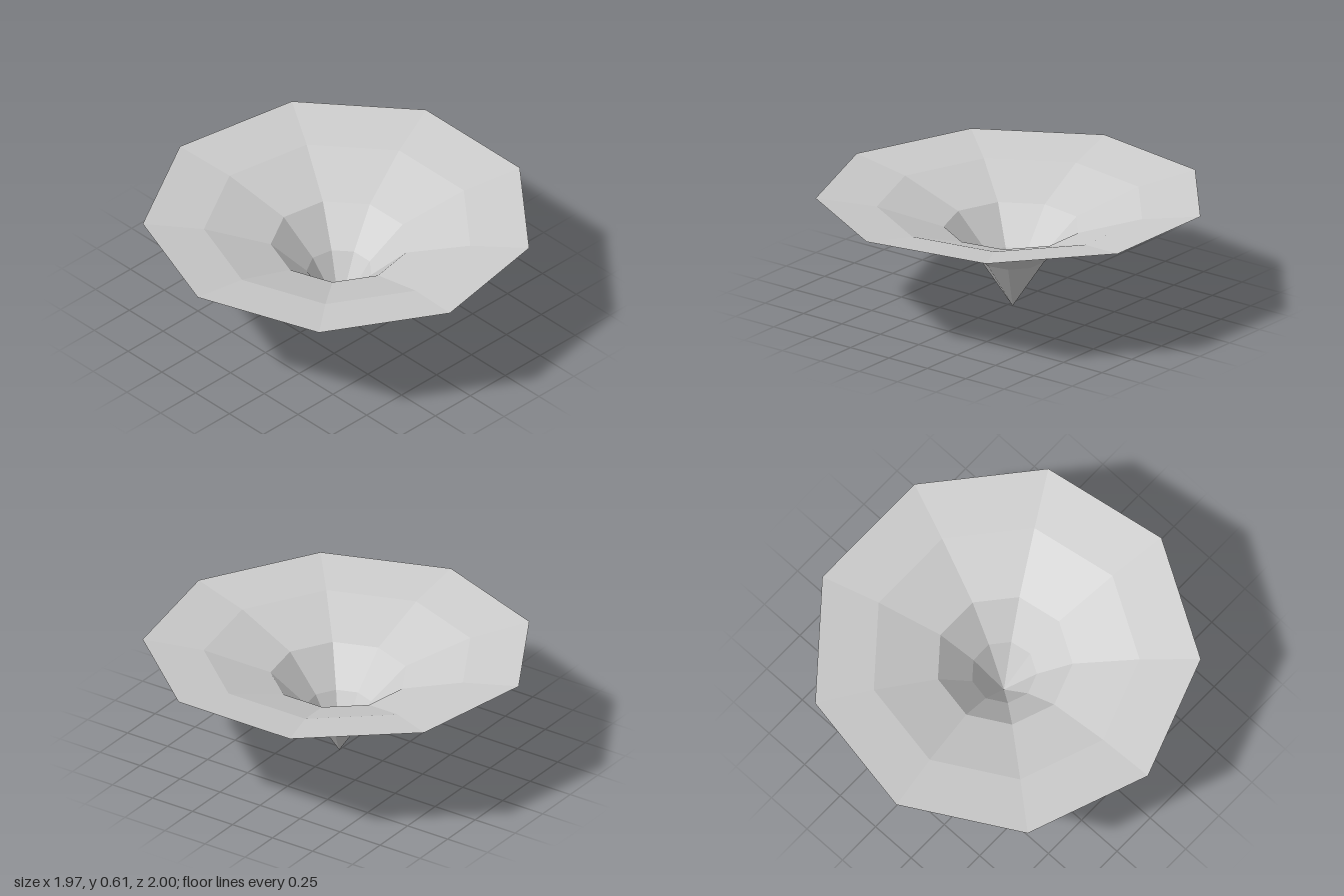
import * as THREE from 'three';

export function createModel() {
  const group = new THREE.Group();
  group.name = 'funnel';

  const grey = new THREE.MeshStandardMaterial({ color: 0xcccccc, flatShading: true, side: THREE.DoubleSide });
  grey.name = 'light grey';

  // Flaring profile from the pointed tip up to the wide rim: [radius, height]
  const profile = [[0, 0], [0.17, 0.26], [0.355, 0.44], [0.7, 0.555], [1.0154, 0.605]]
    .map(([r, y]) => new THREE.Vector2(r, y));

  // Nine-sided open shell with one corner pointing to -x
  const shell = new THREE.Mesh(new THREE.LatheGeometry(profile, 9, -Math.PI / 2), grey);
  shell.name = 'funnelShell';
  shell.position.x = 0.0306; // centres the odd-sided rim
  group.add(shell);

  return group;
}
